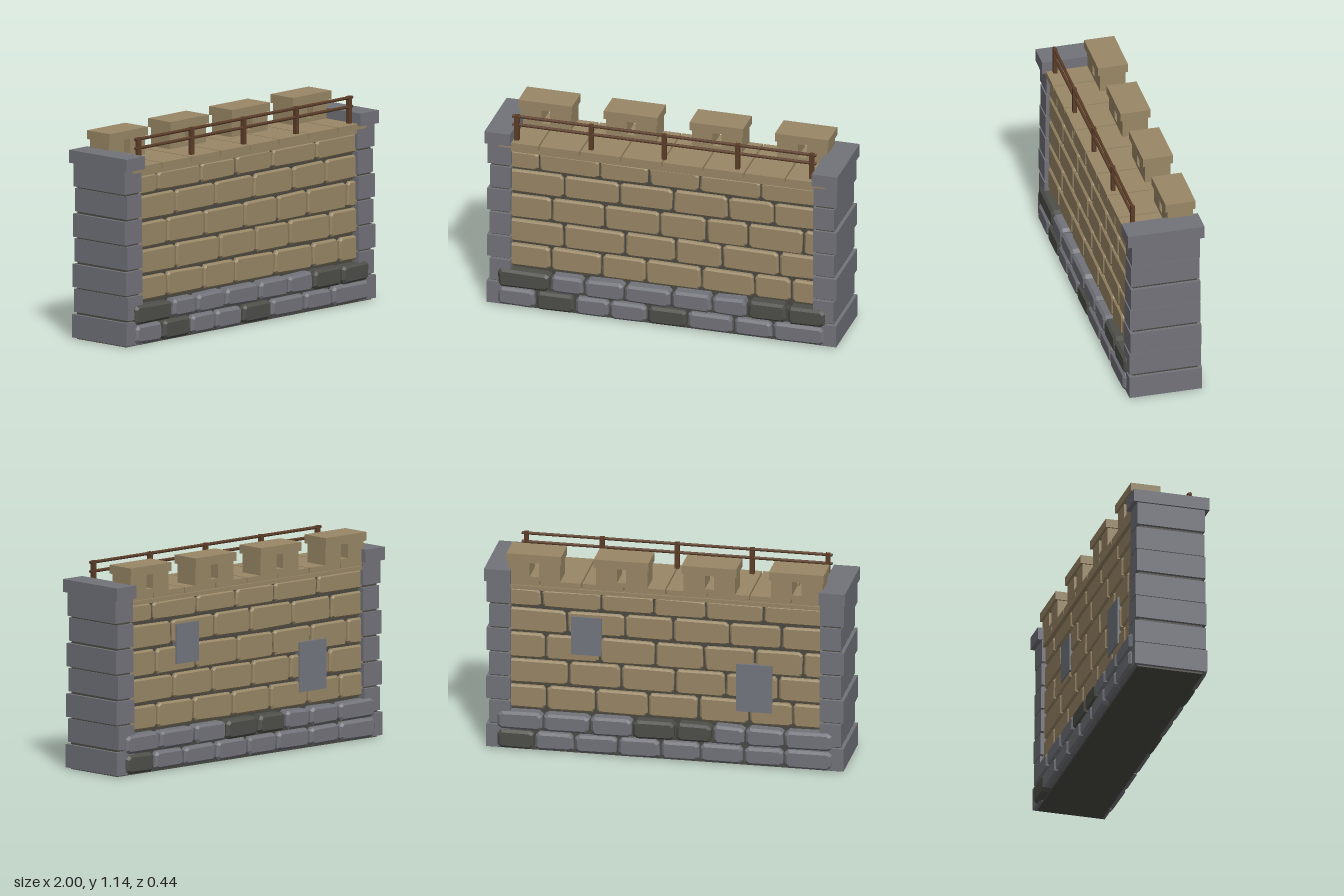
import * as THREE from 'three';

const mat = (name, color) => Object.assign(new THREE.MeshStandardMaterial({ color }), { name });

export function createModel() {
  const tan = mat('sandstone', 0x998766);
  const grey = mat('greyStone', 0x72737a);
  const dark = mat('darkStone', 0x4e4f49);
  const mortar = mat('mortar', 0x4a4942);
  const brown = mat('railWood', 0x5c3d28);
  const slate = mat('slatePlate', 0x72767d);

  const root = new THREE.Group();
  root.name = 'battlementWall';

  let seed = 7;
  const rand = () => {
    seed = (seed * 16807) % 2147483647;
    return seed / 2147483647 - 0.5;
  };

  const group = (name, parent = root) => {
    const g = new THREE.Group();
    g.name = name;
    parent.add(g);
    return g;
  };

  // Box given by its two extreme corners
  const box = (parent, name, material, x0, x1, y0, y1, z0, z1) => {
    const m = new THREE.Mesh(new THREE.BoxGeometry(x1 - x0, y1 - y0, z1 - z0), material);
    m.position.set((x0 + x1) / 2, (y0 + y1) / 2, (z0 + z1) / 2);
    m.name = name;
    parent.add(m);
  };

  // Chamfered, slightly uneven stone whose face reaches z = front
  const stone = (parent, name, material, x0, x1, y0, y1, front, bevel) => {
    const c = 0.01, j = () => rand() * 0.006;
    const [l, r, b, t] = [x0 + bevel, x1 - bevel, y0 + bevel, y1 - bevel];
    const pts = [[l + c, b], [r - c, b], [r, b + c], [r, t - c], [r - c, t], [l + c, t], [l, t - c], [l, b + c]];
    const shape = new THREE.Shape(pts.map(([x, y]) => new THREE.Vector2(x + j(), y + j())));
    const geo = new THREE.ExtrudeGeometry(shape, {
      depth: front - bevel - 0.12, bevelEnabled: true, bevelSegments: 1, bevelSize: bevel, bevelThickness: bevel,
    });
    const m = new THREE.Mesh(geo, material);
    m.position.z = 0.12;
    m.name = name;
    parent.add(m);
  };

  // Mortar core
  const core = group('core');
  box(core, 'wallCore', mortar, -0.93, 0.93, 0.005, 0.955, -0.153, 0.153);
  box(core, 'footing', mortar, -0.97, 0.97, 0, 0.2, -0.184, 0.184);
  for (const s of [-1, 1]) box(core, 'pierCore', mortar, s * 0.92 - 0.05, s * 0.92 + 0.05, 0.1, 0.98, -0.18, 0.18);

  // Courses of stone: height range, joint positions, dark stone numbers
  const heights = [[0.237, 0.368], [0.383, 0.517], [0.529, 0.668], [0.683, 0.813], [0.827, 0.929]];
  const faces = {
    frontFace: {
      base: [
        { joints: [-0.93, -0.712, -0.488, -0.294, -0.08, 0.148, 0.41, 0.632, 0.93], dark: [1, 4] },
        { joints: [-0.93, -0.63, -0.44, -0.212, 0.054, 0.286, 0.488, 0.713, 0.93], dark: [0, 6, 7] },
      ],
      rows: [
        [-0.92, -0.638, -0.35, -0.098, 0.216, 0.517, 0.725, 0.92],
        [-0.92, -0.564, -0.217, 0.068, 0.334, 0.655, 0.92],
        [-0.92, -0.633, -0.334, -0.02, 0.243, 0.478, 0.793, 0.92],
        [-0.92, -0.564, -0.248, 0.054, 0.366, 0.626, 0.92],
        [-0.92, -0.705, -0.363, -0.082, 0.204, 0.552, 0.92],
      ],
    },
    backFace: {
      base: [
        { joints: [-0.93, -0.72, -0.5, -0.26, -0.025, 0.195, 0.44, 0.66, 0.93], dark: [0] },
        { joints: [-0.93, -0.675, -0.415, -0.18, 0.058, 0.262, 0.445, 0.66, 0.93], dark: [3, 4] },
      ],
      rows: [
        [-0.92, -0.66, -0.39, -0.1, 0.18, 0.46, 0.7, 0.92],
        [-0.92, -0.54, -0.25, 0.05, 0.33, 0.62, 0.92],
        [-0.92, -0.67, -0.37, -0.06, 0.21, 0.49, 0.76, 0.92],
        [-0.92, -0.55, -0.23, 0.04, 0.35, 0.64, 0.92],
        [-0.92, -0.69, -0.36, -0.07, 0.22, 0.54, 0.92],
      ],
    },
  };
  for (const [name, face] of Object.entries(faces)) {
    const g = group(name);
    if (name === 'backFace') g.rotation.y = Math.PI;
    face.base.forEach(({ joints, dark: d }, k) => {
      const y = 0.012 + k * 0.108;
      for (let i = 0; i < joints.length - 1; i++)
        stone(g, 'baseStone', d.includes(i) ? dark : grey, joints[i] + 0.006, joints[i + 1] - 0.006,
          y, y + 0.102, 0.222 - k * 0.004, 0.014);
    });
    face.rows.forEach((joints, k) => {
      const [y0, y1] = heights[k];
      for (let i = 0; i < joints.length - 1; i++)
        stone(g, 'wallStone', tan, joints[i] + 0.006, joints[i + 1] - 0.006, y0, y1, 0.179 - k * 0.002, 0.009);
    });
  }

  // Slate plates on the back
  box(root, 'upperPlate', slate, 0.355, 0.525, 0.57, 0.79, -0.181, -0.15);
  box(root, 'lowerPlate', slate, -0.59, -0.39, 0.31, 0.585, -0.186, -0.15);

  // End piers: stacked blocks, tapering in depth, with a cap
  for (const s of [-1, 1]) {
    const pier = group(s > 0 ? 'leftPier' : 'rightPier');
    for (let i = 0; i < 7; i++) {
      const outer = i % 2 ? 0.975 : 0.99, z = 0.204 - i * 0.0022, y = 0.009 + i * 0.1395;
      box(pier, 'pierBlock', grey, Math.min(s * 0.857, s * outer), Math.max(s * 0.857, s * outer), y, y + 0.128, -z, z);
    }
    box(pier, 'pierCap', grey, Math.min(s * 0.855, s), Math.max(s * 0.855, s), 0.975, 1.046, -0.215, 0.215);
  }

  // Walkway ledge and slabs
  const walk = group('walkway');
  box(walk, 'ledge', tan, -0.9, 0.9, 0.931, 0.953, -0.186, 0.184);
  for (let i = 0; i < 8; i++) {
    const x = -0.93 + i * 0.2325;
    box(walk, 'slab', tan, x + 0.004, x + 0.2285, 0.955, 0.987, -0.182, 0.193);
  }

  // Merlons: two legs on a sill with a loophole, under a flat cap
  for (const x of [-0.727, -0.243, 0.243, 0.727]) {
    const m = group('merlon');
    box(m, 'sill', tan, x - 0.025, x + 0.025, 0.985, 1.008, -0.183, -0.04);
    for (const s of [-1, 1])
      box(m, 'leg', tan, x + s * 0.0838 - 0.0588, x + s * 0.0838 + 0.0588, 0.985, 1.093, -0.183, -0.04);
    box(m, 'cap', tan, x - 0.152, x + 0.152, 1.092, 1.14, -0.196, -0.027);
  }

  // Front railing
  const railing = group('railing');
  for (const x of [-0.835, -0.415, 0, 0.415, 0.835])
    box(railing, 'post', brown, x - 0.0125, x + 0.0125, 0.985, 1.138, 0.136, 0.158);
  for (const y of [1.079, 1.129]) {
    const rail = new THREE.Mesh(new THREE.CylinderGeometry(0.009, 0.009, 1.72, 8), brown);
    rail.rotation.z = Math.PI / 2;
    rail.position.set(0, y, 0.147);
    rail.name = 'rail';
    railing.add(rail);
  }

  return root;
}
